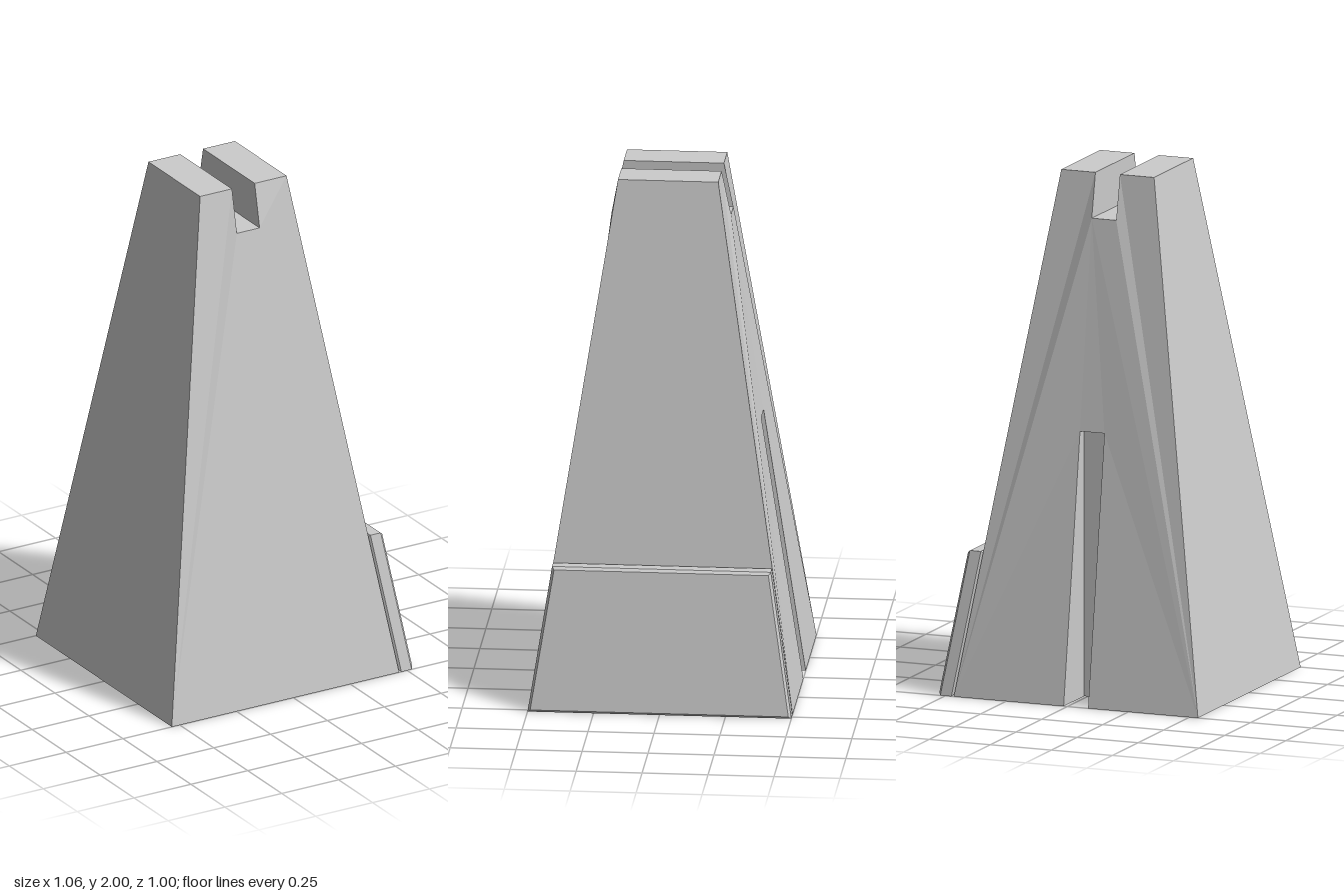
import * as THREE from 'three';

const SLOPE = 0.155;                 // inward lean of every side per unit of height
const CX = -0.035;                   // centre of the tower in x
const NOTCH_L = -0.085, NOTCH_R = 0.015, NOTCH_Y = 1.83;
const SLOT_Y = 1.03, SLOT_Z = -0.3;  // top and inner wall of the rear slot

const material = () => new THREE.MeshStandardMaterial({ color: 0xcccccc, flatShading: true });

// Triangulates a planar loop of points so that it faces the outward direction.
function addFace(out, points, outward) {
  const size = outward.map(Math.abs);
  const drop = size.indexOf(Math.max(...size));
  const [u, v] = [0, 1, 2].filter((k) => k !== drop);
  const flat = points.map((p) => new THREE.Vector2(p[u], p[v]));
  const normal = new THREE.Vector3(...outward);
  for (const tri of THREE.ShapeUtils.triangulateShape(flat, [])) {
    const [a, b, c] = tri.map((i) => new THREE.Vector3(...points[i]));
    const n = b.clone().sub(a).cross(c.clone().sub(a));
    for (const p of n.dot(normal) < 0 ? [a, c, b] : [a, b, c]) out.push(p.x, p.y, p.z);
  }
}

// Tapered tower with a notch across the top and a slot in the back
function buildTower() {
  const halfDepth = (y) => (y === NOTCH_Y ? 0.226 : 0.5 - SLOPE * y);
  const outline = [
    [CX - 0.5, 0], [CX + 0.5, 0], [CX + 0.19, 2],
    [NOTCH_R, 2], [NOTCH_R, NOTCH_Y], [NOTCH_L, NOTCH_Y], [NOTCH_L, 2],
    [CX - 0.19, 2],
  ];
  const front = outline.map(([x, y]) => [x, y, halfDepth(y)]);
  const back = outline.map(([x, y]) => [x, y, -halfDepth(y)]);
  const out = [];

  // Slot mouth on the back face, and the same loop on its inner wall
  const mouth = [[NOTCH_L, 0], [NOTCH_L, SLOT_Y], [NOTCH_R, SLOT_Y], [NOTCH_R, 0]]
    .map(([x, y]) => [x, y, -halfDepth(y)]);
  const inner = mouth.map(([x, y]) => [x, y, SLOT_Z]);

  addFace(out, front, [0, 0, 1]);
  addFace(out, [back[0], ...mouth, ...back.slice(1)], [0, 0, -1]);
  addFace(out, inner, [0, 0, -1]);
  // Slot walls and ceiling
  [[1, 0, 0], [0, -1, 0], [-1, 0, 0]].forEach((n, i) =>
    addFace(out, [mouth[i], inner[i], inner[i + 1], mouth[i + 1]], n));
  // Underside, cut by the slot
  addFace(out, [front[0], front[1], back[1], mouth[3], inner[3], inner[0], mouth[0], back[0]], [0, -1, 0]);
  // Sides, top and notch
  for (let i = 1; i < outline.length; i++) {
    const j = (i + 1) % outline.length;
    const dx = outline[j][0] - outline[i][0], dy = outline[j][1] - outline[i][1];
    addFace(out, [front[i], back[i], back[j], front[j]], [dy, -dx, 0]);
  }

  const geo = new THREE.BufferGeometry();
  geo.setAttribute('position', new THREE.Float32BufferAttribute(out, 3));
  geo.computeVertexNormals();
  return geo;
}

// Bevelled plate leaning against the left side
function buildPlate() {
  const height = 0.55, bevel = 0.01, thickness = 0.065;
  const top = 0.5 - SLOPE * height;
  const shape = new THREE.Shape([[-0.5, 0], [0.5, 0], [top, height], [-top, height]]
    .map(([x, y]) => new THREE.Vector2(x, y)));
  const geo = new THREE.ExtrudeGeometry(shape, {
    depth: thickness - 2 * bevel, bevelEnabled: true, bevelSegments: 1,
    bevelThickness: bevel, bevelSize: bevel, bevelOffset: -bevel,
  });
  geo.rotateY(Math.PI / 2).translate(CX + 0.5 + bevel, 0, 0);
  const pos = geo.attributes.position;
  for (let i = 0; i < pos.count; i++) pos.setX(i, pos.getX(i) - SLOPE * pos.getY(i));
  geo.computeVertexNormals();
  return geo;
}

export function createModel() {
  const group = new THREE.Group();
  group.name = 'notchedTower';
  for (const [name, geo] of [['tower', buildTower()], ['sidePlate', buildPlate()]]) {
    const mesh = new THREE.Mesh(geo, material());
    mesh.name = name;
    group.add(mesh);
  }
  return group;
}
